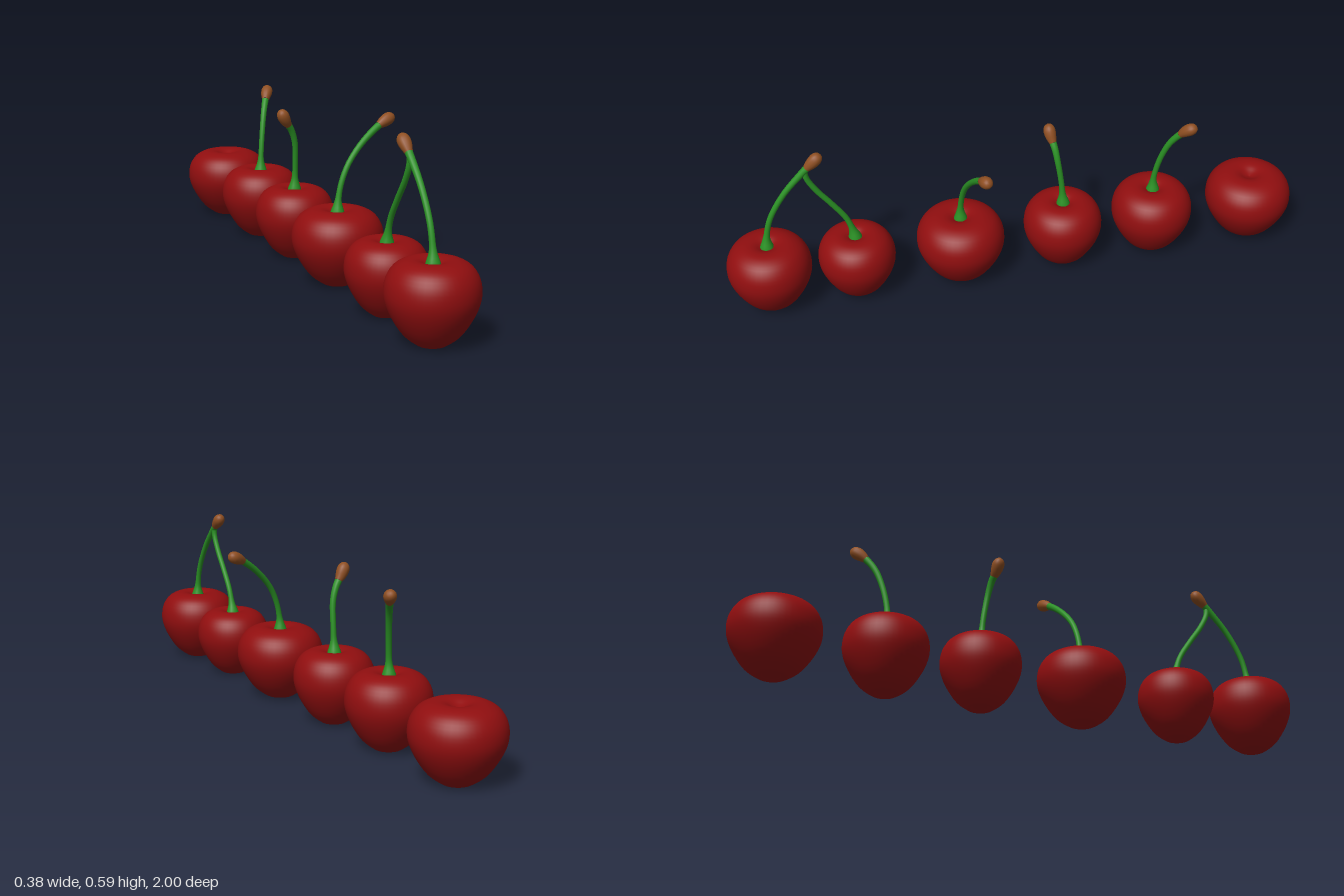
import * as THREE from 'three';
import { mergeVertices } from 'three/addons/utils/BufferGeometryUtils.js';

const X = -0.04;

// Fruit outline from bottom dimple to top dimple: radius (share of widest), height (share of full)
const PROFILE = [
  [0, 0.05], [0.15, 0.035], [0.27, 0.008], [0.35, 0.02], [0.6, 0.13], [0.81, 0.3],
  [0.95, 0.47], [1, 0.62], [0.96, 0.78], [0.82, 0.91], [0.62, 0.98], [0.43, 1],
  [0.27, 0.985], [0.13, 0.945], [0, 0.92],
];

// Each fruit with the points its stalk passes through
const CHERRIES = [
  { z: 0.858, r: 0.142, h: 0.254, tip: true,
    stem: [[X, 0.23, 0.858], [X, 0.278, 0.855], [X, 0.353, 0.836], [X, 0.444, 0.783], [X, 0.513, 0.722], [X - 0.002, 0.582, 0.65]] },
  { z: 0.562, r: 0.131, h: 0.24, tip: false,
    stem: [[X, 0.217, 0.562], [X, 0.25, 0.567], [X, 0.31, 0.586], [X, 0.385, 0.634], [X, 0.444, 0.676], [X, 0.5, 0.704], [X, 0.53, 0.706]] },
  { z: 0.202, r: 0.151, h: 0.254, tip: true,
    stem: [[X, 0.23, 0.2], [-0.037, 0.28, 0.2], [-0.025, 0.335, 0.197], [0.003, 0.395, 0.19], [0.057, 0.457, 0.176], [0.128, 0.51, 0.16], [0.188, 0.538, 0.146]] },
  { z: -0.162, r: 0.136, h: 0.25, tip: true,
    stem: [[X, 0.23, -0.163], [X, 0.32, -0.156], [-0.046, 0.41, -0.143], [-0.062, 0.457, -0.136], [-0.086, 0.492, -0.128], [-0.108, 0.532, -0.122]] },
  { z: -0.488, r: 0.141, h: 0.254, tip: true,
    stem: [[X, 0.23, -0.488], [-0.037, 0.3, -0.489], [-0.024, 0.39, -0.506], [-0.008, 0.455, -0.53], [0.015, 0.505, -0.566], [0.037, 0.534, -0.602]] },
  { z: -0.85, r: 0.15, h: 0.25 },
];

// Round sweep along a path whose radius follows a rule of t in 0..1
function taperedTube(path, segments, sides, radiusAt) {
  const geo = new THREE.TubeGeometry(path, segments, 1, sides);
  const pos = geo.attributes.position;
  const v = new THREE.Vector3();
  for (let i = 0; i < pos.count; i++) {
    const t = Math.floor(i / (sides + 1)) / segments;
    const c = path.getPointAt(t);
    v.fromBufferAttribute(pos, i).sub(c).multiplyScalar(radiusAt(t)).add(c);
    pos.setXYZ(i, v.x, v.y, v.z);
  }
  geo.deleteAttribute('uv');
  geo.deleteAttribute('normal');
  const merged = mergeVertices(geo, 1e-5);
  merged.computeVertexNormals();
  return merged;
}

// Piece of a curve between two arc-length fractions
function section(curve, from, to) {
  const pts = [];
  for (let i = 0; i <= 16; i++) pts.push(curve.getPointAt(from + (to - from) * i / 16));
  return new THREE.CatmullRomCurve3(pts);
}

function makeFruit(r, h, material) {
  const outline = new THREE.SplineCurve(PROFILE.map(([pr, ph]) => new THREE.Vector2(pr * r, ph * h)));
  const pts = outline.getPoints(42);
  pts.forEach((p) => { p.x = Math.max(p.x, 0); });
  pts[0].x = pts[pts.length - 1].x = 0;
  const mesh = new THREE.Mesh(new THREE.LatheGeometry(pts, 48), material);
  mesh.name = 'fruit';
  return mesh;
}

export function createModel() {
  const red = new THREE.MeshStandardMaterial({ color: 0x900e0f });
  red.name = 'cherry red';
  const green = new THREE.MeshStandardMaterial({ color: 0x2a9024 });
  green.name = 'stalk green';
  const brown = new THREE.MeshStandardMaterial({ color: 0x8f4f22 });
  brown.name = 'bud brown';

  const model = new THREE.Group();
  model.name = 'cherryRow';

  CHERRIES.forEach(({ z, r, h, stem, tip }, i) => {
    const cherry = new THREE.Group();
    cherry.name = `cherry${i + 1}`;
    const fruit = makeFruit(r, h, red);
    fruit.position.set(X, 0, z);
    cherry.add(fruit);

    if (stem) {
      const curve = new THREE.CatmullRomCurve3(stem.map((p) => new THREE.Vector3(...p)));
      const length = curve.getLength();
      const split = tip ? 1 - 0.068 / length : 1;

      // Stalk flares where it meets the fruit and swells slightly at the far end
      const stalkGeo = taperedTube(section(curve, 0, split), 36, 14, (t) => {
        const d = t * split * length;
        return 0.0095 + 0.015 * Math.exp(-((d / 0.036) ** 2)) + (tip ? 0.003 * t ** 4 : 0);
      });
      const stalk = new THREE.Mesh(stalkGeo, green);
      stalk.name = 'stalk';
      cherry.add(stalk);

      // Teardrop bud closing the stalk
      if (tip) {
        const budGeo = taperedTube(section(curve, split, 1), 20, 14, (t) => {
          if (t < 0.6) return 0.0125 + 0.0085 * Math.sin((t / 0.6) * Math.PI / 2);
          return 0.021 * Math.sqrt(Math.max(0, 1 - ((t - 0.6) / 0.4) ** 2));
        });
        const bud = new THREE.Mesh(budGeo, brown);
        bud.name = 'bud';
        cherry.add(bud);
      }
    }
    model.add(cherry);
  });
  return model;
}
